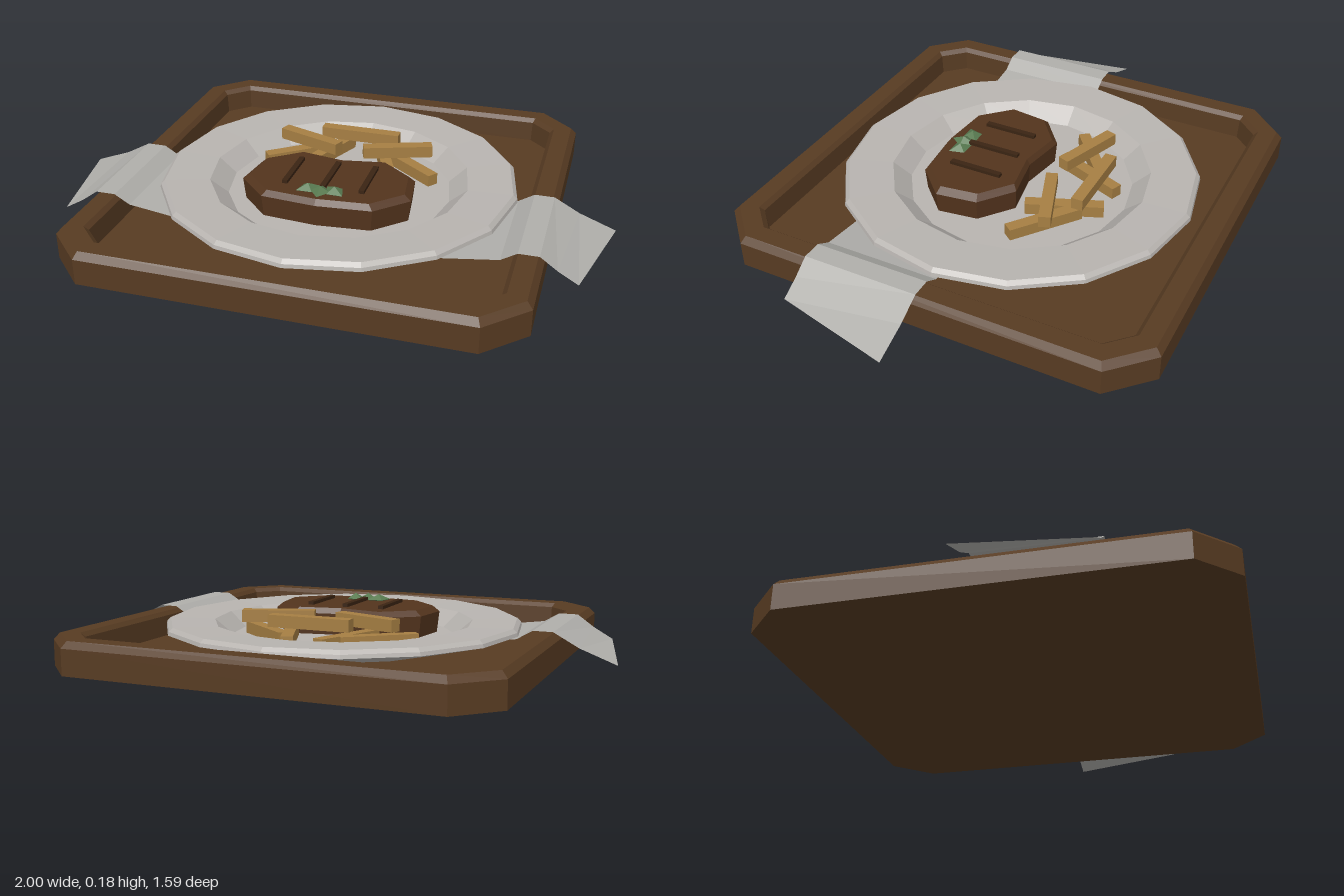
import * as THREE from 'three';

const mat = (name, color, extra = {}) => {
  const m = new THREE.MeshStandardMaterial({ color, flatShading: true, ...extra });
  m.name = name;
  return m;
};

// Joins outlines ([x, z] points) stacked at given heights, closed at both ends around a centre
function loft(rings, cz = 0) {
  const pos = [];
  const v = (r, i) => {
    const p = r.pts[i % r.pts.length];
    return [p[0], r.y, p[1]];
  };
  const n = rings[0].pts.length, first = rings[0], last = rings[rings.length - 1];
  for (let i = 0; i < n; i++) {
    pos.push(0, first.y, cz, ...v(first, i), ...v(first, i + 1));
    pos.push(0, last.y, cz, ...v(last, i + 1), ...v(last, i));
    for (let k = 0; k < rings.length - 1; k++) {
      const a = v(rings[k], i), b = v(rings[k], i + 1);
      const c = v(rings[k + 1], i + 1), d = v(rings[k + 1], i);
      pos.push(...a, ...d, ...c, ...a, ...c, ...b);
    }
  }
  const g = new THREE.BufferGeometry();
  g.setAttribute('position', new THREE.Float32BufferAttribute(pos, 3));
  g.computeVertexNormals();
  return g;
}

// Square outline with cut corners: h is the half side, c is where the cut begins
const cutSquare = (h, c, y) => ({
  y, pts: [[h, -c], [h, c], [c, h], [-c, h], [-h, c], [-h, -c], [-c, -h], [c, -h]],
});

export function createModel() {
  const model = new THREE.Group();
  const wood = mat('tray brown', 0x573b22);
  const china = mat('plate grey', 0xb8b4b0);
  const cloth = mat('napkin grey', 0xb0afab, { side: THREE.DoubleSide });
  const meat = mat('meat brown', 0x53341d);
  const char = mat('grill mark brown', 0x3a2413);
  const potato = mat('fry gold', 0xa67f43);
  const leaf = mat('herb green', 0x587a50);
  const add = (name, geometry, material, parent = model) => {
    const m = new THREE.Mesh(geometry, material);
    m.name = name;
    parent.add(m);
    return m;
  };

  // Tray with bevelled rim and sunken floor
  add('tray', loft([
    cutSquare(0.795, 0.66, 0), cutSquare(0.795, 0.66, 0.092), cutSquare(0.775, 0.65, 0.115),
    cutSquare(0.71, 0.625, 0.115), cutSquare(0.695, 0.617, 0.1), cutSquare(0.69, 0.615, 0.025),
  ]), wood);

  // Sixteen-sided plate with a sunken well
  const profile = [[0, 0.035], [0.42, 0.035], [0.655, 0.095], [0.652, 0.108], [0.638, 0.121],
    [0.475, 0.115], [0.41, 0.06], [0, 0.06]].map(([x, y]) => new THREE.Vector2(x, y));
  add('plate', new THREE.LatheGeometry(profile, 16), china);

  // Napkins draped over the tray rim: sections of [back x, front x, back y, front y]
  const drape = [[0.4, 0.4, 0.055, 0.055], [0.655, 0.655, 0.09, 0.09], [0.71, 0.71, 0.123, 0.123],
    [0.78, 0.78, 0.123, 0.123], [0.87, 0.84, 0.074, 0.08], [1, 0.91, 0.025, 0.04]];
  for (const side of [1, -1]) {
    const pos = [], index = [];
    drape.forEach(([bx, fx, by, fy], i) => {
      pos.push(side * bx, by, -0.02, side * fx, fy, 0.4);
      if (i === 0) return;
      const a = 2 * i - 2;
      if (side > 0) index.push(a, a + 1, a + 3, a, a + 3, a + 2);
      else index.push(a, a + 3, a + 1, a, a + 2, a + 3);
    });
    const g = new THREE.BufferGeometry();
    g.setAttribute('position', new THREE.Float32BufferAttribute(pos, 3));
    g.setIndex(index);
    g.computeVertexNormals();
    add(side > 0 ? 'leftNapkin' : 'rightNapkin', g, cloth);
  }

  // Steak with a notched back edge and bevelled top
  const half = [[0.17, -0.065], [0.29, 0.03], [0.31, 0.18], [0.2, 0.29]];
  const outline = [[0, -0.035], ...half, [0, 0.308], ...half.map(([x, z]) => [-x, z]).reverse()];
  const steakRing = (s, y) => ({ y, pts: outline.map(([x, z]) => [x * s, 0.12 + (z - 0.12) * s]) });
  const steak = new THREE.Group();
  steak.name = 'steak';
  model.add(steak);
  add('steakBody', loft([steakRing(0.97, 0.055), steakRing(1, 0.138), steakRing(0.92, 0.158)], 0.12), meat, steak);
  for (const x of [-0.14, 0, 0.14]) {
    add('grillMark', new THREE.BoxGeometry(0.02, 0.02, 0.2), char, steak).position.set(x, 0.16, 0.113);
  }

  // Herb sprig: three pointed leaves
  const sprig = new THREE.Group();
  sprig.name = 'herbSprig';
  model.add(sprig);
  for (const [x, z, turn] of [[0, 0.24, 0], [0.048, 0.228, 0.9], [-0.048, 0.228, -0.9]]) {
    const l = add('herbLeaf', new THREE.OctahedronGeometry(1), leaf, sprig);
    l.scale.set(0.035, 0.02, 0.046);
    l.position.set(x, 0.161, z);
    l.rotation.y = turn;
  }

  // Stacked fries: [x, y, z, length, turn], mirrored except the middle one
  const fries = new THREE.Group();
  fries.name = 'fries';
  model.add(fries);
  const addFry = (x, y, z, length, turn) => {
    const f = add('fry', new THREE.BoxGeometry(length, 0.043, 0.043), potato, fries);
    f.position.set(x, y, z);
    f.rotation.y = turn;
  };
  for (const s of [1, -1]) {
    addFry(s * 0.215, 0.082, -0.195, 0.28, s * -0.66);
    addFry(s * 0.11, 0.082, -0.225, 0.28, s * -1.19);
    addFry(s * 0.17, 0.145, -0.19, 0.26, s * 0.34);
  }
  addFry(0, 0.145, -0.29, 0.305, 0);

  return model;
}
